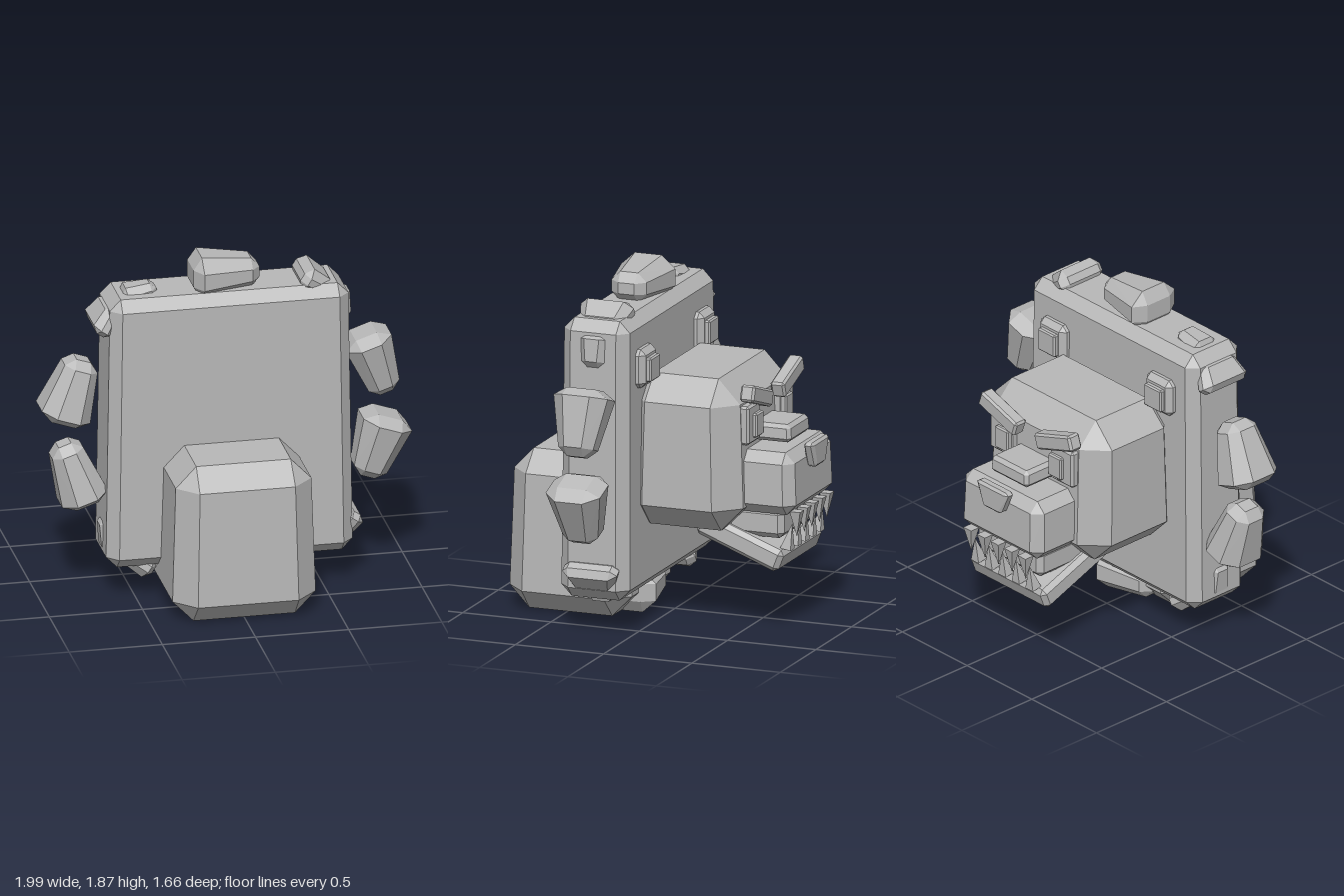
import * as THREE from 'three';
import { ConvexGeometry } from 'three/addons/geometries/ConvexGeometry.js';

const stone = new THREE.MeshStandardMaterial({ color: 0xb8b8b8 });
stone.name = 'stone grey';

// Box with bevelled edges; tx and tz scale the top end relative to the bottom.
function blockGeometry(w, h, d, c, tx = 1, tz = 1) {
  const points = [];
  const add = (x, y, z) => {
    const t = y / h + 0.5;
    points.push(new THREE.Vector3(x * (1 + (tx - 1) * t), y, z * (1 + (tz - 1) * t)));
  };
  for (const sx of [-1, 1]) for (const sy of [-1, 1]) for (const sz of [-1, 1]) {
    const x = w / 2, y = h / 2, z = d / 2;
    add(sx * x, sy * (y - c), sz * (z - c));
    add(sx * (x - c), sy * y, sz * (z - c));
    add(sx * (x - c), sy * (y - c), sz * z);
  }
  return new ConvexGeometry(points);
}

export function createModel() {
  const model = new THREE.Group();
  model.name = 'beastHeadBlock';

  const put = (name, geometry, x, y, z, rx = 0, rz = 0) => {
    const mesh = new THREE.Mesh(geometry, stone);
    mesh.name = name;
    mesh.position.set(x, y, z);
    mesh.rotation.set(rx, 0, rz);
    model.add(mesh);
    return mesh;
  };

  // Main slab and the neck block on its front
  put('slab', blockGeometry(1.325, 1.51, 0.39, 0.06, 0.965, 0.95), 0, 0.945, 0.205);
  put('neckBlock', blockGeometry(0.775, 0.865, 0.7, 0.115, 0.93, 0.92), 0, 0.44, 0.48);

  // Mane: each half repeats the other, turned half a turn about the slab's centre
  const tufts = [
    // name, x, y, turn, narrow width, length, narrow depth, bevel, widening x, widening z
    ['topTuft', 0, 1.765, Math.PI / 2, 0.15, 0.36, 0.18, 0.045, 1.6, 1.8],
    ['upperTuft', 0.805, 1.19, 0.33, 0.16, 0.36, 0.18, 0.045, 1.7, 1.8],
    ['lowerTuft', 0.82, 0.72, -0.33, 0.17, 0.36, 0.18, 0.045, 1.7, 1.8],
    ['wideTopTuft', 0.475, 1.69, 1.0, 0.1, 0.18, 0.22, 0.035, 1.4, 1.45],
    ['smallSideTuft', 0.615, 1.54, 0.2, 0.09, 0.18, 0.12, 0.03, 1.5, 1.5],
    ['wideSideTuft', 0.645, 0.315, -0.6, 0.09, 0.16, 0.22, 0.03, 1.4, 1.5],
    ['smallBottomTuft', 0.46, 0.205, -1.35, 0.09, 0.19, 0.12, 0.03, 1.5, 1.5],
  ];
  for (const [name, x, y, turn, w, h, d, c, tx, tz] of tufts) {
    const geometry = blockGeometry(w, h, d, c, tx, tz);
    put(name + 'A', geometry, x, y, 0.205, 0, turn);
    put(name + 'B', geometry, -x, 1.885 - y, 0.205, 0, turn + Math.PI);
  }

  // Head and muzzle, facing backwards
  put('head', blockGeometry(0.925, 0.82, 0.66, 0.13, 0.97, 0.91), 0, 0.96, -0.195);
  put('muzzle', blockGeometry(0.62, 0.335, 0.38, 0.055, 0.97, 0.93), 0, 0.817, -0.6);
  put('noseBridge', blockGeometry(0.29, 0.095, 0.24, 0.02, 0.95, 0.95), 0, 1.055, -0.59);
  put('nose', blockGeometry(0.13, 0.14, 0.06, 0.014, 1.95, 1), 0, 0.94, -0.8);

  // Mouth and hanging jaw
  put('mouth', blockGeometry(0.5, 0.16, 0.32, 0.03), 0, 0.59, -0.55);
  put('jaw', blockGeometry(0.58, 0.125, 0.5, 0.025), 0, 0.48, -0.475, -0.37);

  // Teeth
  const tooth = new THREE.ConeGeometry(0.042, 0.14, 4).toNonIndexed();
  tooth.rotateY(Math.PI / 4);
  tooth.computeVertexNormals();
  for (let i = -2; i <= 2; i++) {
    put('upperTooth', tooth, i * 0.105, 0.595, -0.775, Math.PI);
    put('lowerTooth', tooth, i * 0.105, 0.525, -0.735, -0.2);
  }

  // Eyes, brows and ears
  for (const s of [-1, 1]) {
    put('eye', blockGeometry(0.17, 0.21, 0.08, 0.012), s * 0.235, 1.125, -0.505);
    put('pupil', blockGeometry(0.1, 0.13, 0.04, 0.008), s * 0.205, 1.115, -0.547);
    put('brow', blockGeometry(0.29, 0.09, 0.08, 0.012), s * 0.215, 1.27, -0.55, 0, s * 0.32);
    put('ear', blockGeometry(0.2, 0.21, 0.1, 0.03), s * 0.41, 1.425, 0.02);
    put('innerEar', blockGeometry(0.13, 0.13, 0.06, 0.008), s * 0.41, 1.42, -0.027);
  }
  return model;
}
